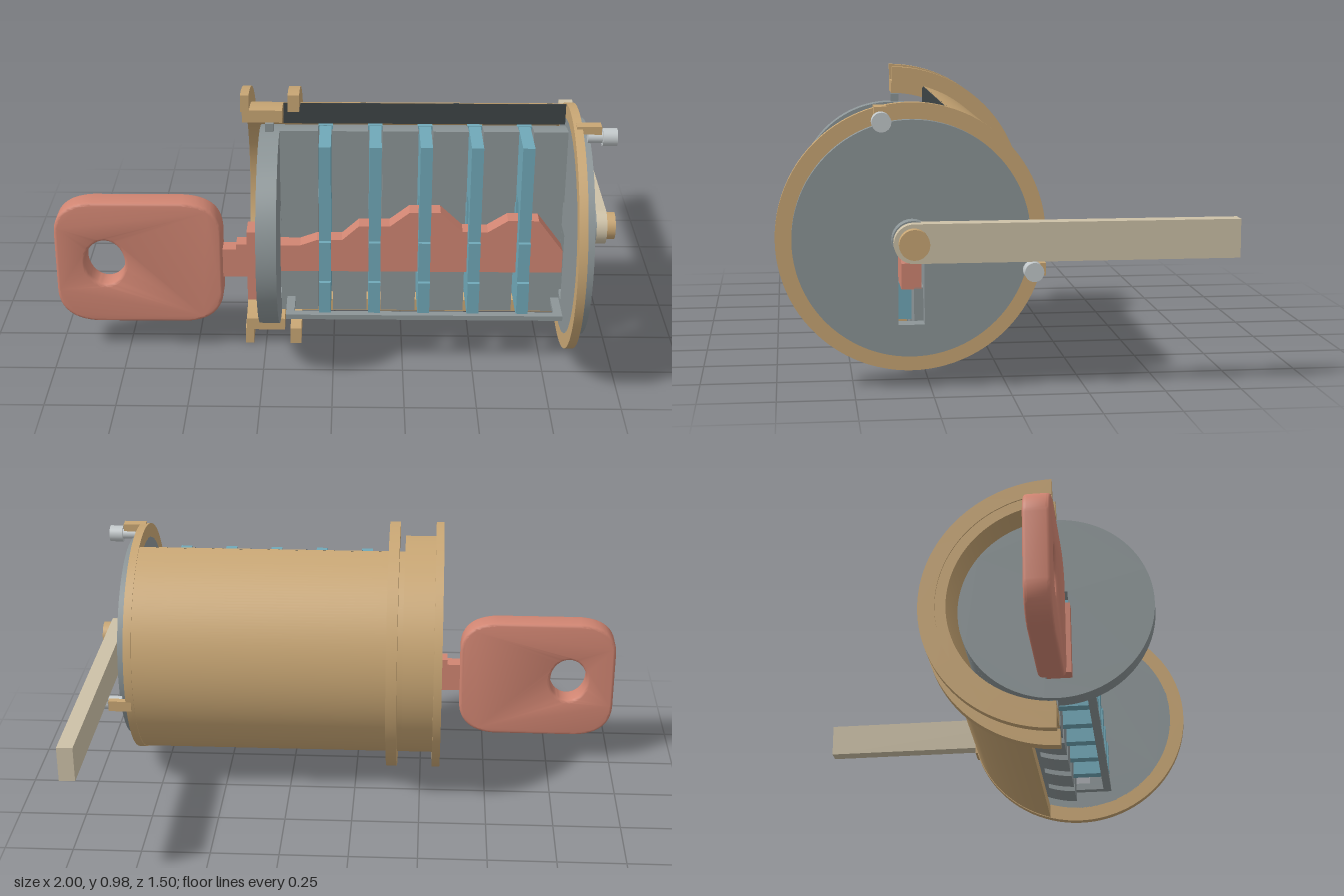
import * as THREE from 'three';
import { toCreasedNormals } from 'three/addons/utils/BufferGeometryUtils.js';

const CY = 0.5, CZ = 0.31; // lock axis, parallel to x

const mat = (name, color, side = THREE.FrontSide) => {
  const m = new THREE.MeshStandardMaterial({ color, side });
  m.name = name;
  return m;
};

export function createModel() {
  const root = new THREE.Group();
  root.name = 'cutawayLock';
  const brass = mat('brass', 0xc8a674);
  const steel = mat('steel', 0x8c9597);
  const dark = mat('darkSteel', 0x3d4446);
  const pale = mat('paleSteel', 0xc2c8ca);
  const bone = mat('leverBeige', 0xcdc1a7);
  const red = mat('keyRed', 0xd08572);
  const blue = mat('waferBlue', 0x70a8b8);

  const add = (name, geo, material) => {
    const mesh = new THREE.Mesh(geo, material);
    mesh.name = name;
    root.add(mesh);
    return mesh;
  };
  // Box from minimum and maximum corners
  const box = (name, m, x0, x1, y0, y1, z0, z1) => {
    const g = new THREE.BoxGeometry(x1 - x0, y1 - y0, z1 - z0);
    g.translate((x0 + x1) / 2, (y0 + y1) / 2, (z0 + z1) / 2);
    return add(name, g, m);
  };
  // Cross-section in (-z, y), extruded along x
  const along = (name, m, shape, x0, x1) => {
    const g = new THREE.ExtrudeGeometry(shape, { depth: x1 - x0, bevelEnabled: false, curveSegments: 48 });
    g.rotateY(Math.PI / 2).translate(x0, 0, 0);
    return add(name, toCreasedNormals(g, 0.5), m);
  };
  const rod = (name, m, r, x0, x1, y, z) => {
    const g = new THREE.CylinderGeometry(r, r, x1 - x0, 32);
    g.rotateZ(Math.PI / 2).translate((x0 + x1) / 2, y, z);
    return add(name, g, m);
  };
  const poly = (pts, Kind = THREE.Shape) => new Kind(pts.map(p => new THREE.Vector2(p[0], p[1])));
  const rectZY = (z0, z1, y0, y1, Kind) => poly([[-z0, y0], [-z0, y1], [-z1, y1], [-z1, y0]], Kind);
  // Rear arc of a tube, cut off at the plane z = cut
  const arcShell = (ri, ro, cut) => {
    const d = CZ - cut, ao = Math.acos(d / ro), ai = Math.acos(d / ri);
    const s = new THREE.Shape();
    s.absarc(-CZ, CY, ro, -ao, ao, false);
    s.absarc(-CZ, CY, ri, ai, -ai, true);
    s.closePath();
    return s;
  };
  // Solid rear segment of a cylinder, cut off at z = cut
  const segment = (r, cut) => {
    const a = Math.acos((CZ - cut) / r), s = new THREE.Shape();
    s.absarc(-CZ, CY, r, -a, a, false);
    s.closePath();
    return s;
  };
  const disc = (r) => {
    const s = new THREE.Shape();
    s.absarc(-CZ, CY, r, 0, Math.PI * 2, false);
    return s;
  };

  // Cut-away housing with its flanges and rear ring
  along('housingNose', brass, arcShell(0.39, 0.435, CZ), -0.32, -0.18);
  along('housingShell', brass, arcShell(0.39, 0.435, 0.19), -0.18, 0.82);
  along('frontFlange', brass, arcShell(0.43, 0.492, CZ), -0.325, -0.295);
  along('secondFlange', brass, arcShell(0.43, 0.492, CZ), -0.16, -0.12);
  const ring = disc(0.438);
  const ringHole = new THREE.Path();
  ringHole.absarc(-CZ, CY, 0.383, 0, Math.PI * 2, true);
  ring.holes.push(ringHole);
  along('rearRing', brass, ring, 0.82, 0.85);
  box('housingCutEdge', dark, -0.18, 0.82, 0.84, 0.917, 0.186, 0.193);

  // End discs of the plug, slotted for the key
  const plugFace = disc(0.355);
  plugFace.holes.push(rectZY(0.27, 0.355, 0.22, 0.56, THREE.Path));
  along('plugFrontDisc', steel, plugFace, -0.26, -0.19);
  const rearFace = disc(0.385);
  rearFace.holes.push(rectZY(0.27, 0.355, 0.22, 0.48, THREE.Path));
  along('plugRearDisc', steel, rearFace, 0.82, 0.88);
  for (const y of [0.135, 0.865]) box('plugStop', steel, -0.24, -0.21, y - 0.02, y + 0.02, 0.28, 0.31);

  // Plug core: a rear spine and blocks between the wafer slots
  const waferX = [-0.03, 0.146, 0.322, 0.498, 0.674];
  along('coreSpine', steel, segment(0.355, 0.195), -0.19, 0.82);
  const edges = [-0.19, ...waferX.flatMap(x => [x - 0.026, x + 0.026]), 0.82];
  const upperBlock = new THREE.Shape();
  const r = 0.355, a0 = Math.PI / 2 - 0.03, a1 = Math.acos(0.13 / r);
  upperBlock.moveTo(-0.18, 0.585);
  upperBlock.absarc(-CZ, CY, r, a1, a0, false);
  upperBlock.lineTo(-0.3, 0.585);
  upperBlock.closePath();
  const lowerBlock = new THREE.Shape();
  lowerBlock.moveTo(-0.18, 0.585);
  lowerBlock.lineTo(-0.268, 0.585);
  lowerBlock.lineTo(-0.268, 0.33);
  lowerBlock.lineTo(-0.3, 0.33);
  lowerBlock.absarc(-CZ, CY, r, -a0, -a1, false);
  lowerBlock.closePath();
  for (let i = 0; i < edges.length; i += 2) {
    along('coreUpperBlock', steel, upperBlock, edges[i], edges[i + 1]);
    along('coreLowerBlock', steel, lowerBlock, edges[i], edges[i + 1]);
  }

  // Wafers: plates with a key window and a stepped lower front
  for (const x of waferX) {
    const s = poly([[-0.2, 0.2], [-0.2, 0.84], [-0.41, 0.84], [-0.41, 0.48],
      [-0.425, 0.48], [-0.425, 0.33], [-0.44, 0.33], [-0.44, 0.21], [-0.41, 0.2]]);
    s.holes.push(rectZY(0.265, 0.35, 0.325, 0.6, THREE.Path));
    along('wafer', blue, s, x - 0.021, x + 0.021);
    box('waferHead', blue, x - 0.026, x + 0.026, 0.825, 0.842, 0.198, 0.215);
  }

  // Thin retaining frame below the wafers
  box('retainerBar', steel, -0.17, 0.82, 0.182, 0.2, 0.41, 0.44);
  box('retainerArm', steel, -0.17, -0.14, 0.182, 0.2, 0.29, 0.44);
  box('retainerArm', steel, 0.79, 0.82, 0.182, 0.2, 0.29, 0.44);

  // Key: rounded bow with a hole, neck, collar and bitted blade
  const bow = new THREE.Shape();
  bow.moveTo(-0.86, 0.13);
  bow.lineTo(-0.54, 0.13);
  bow.bezierCurveTo(-0.45, 0.135, -0.41, 0.18, -0.41, 0.25);
  bow.lineTo(-0.41, 0.47);
  bow.bezierCurveTo(-0.41, 0.54, -0.45, 0.58, -0.54, 0.585);
  bow.lineTo(-0.86, 0.585);
  bow.bezierCurveTo(-0.95, 0.58, -0.99, 0.54, -0.99, 0.47);
  bow.lineTo(-0.99, 0.25);
  bow.bezierCurveTo(-0.99, 0.18, -0.95, 0.135, -0.86, 0.13);
  const bowHole = new THREE.Path();
  bowHole.absellipse(-0.823, 0.358, 0.082, 0.098, 0, Math.PI * 2, true);
  bow.holes.push(bowHole);
  const bowGeo = new THREE.ExtrudeGeometry(bow, {
    depth: 0.065, bevelThickness: 0.013, bevelSize: 0.011, bevelSegments: 3, curveSegments: 24,
  });
  bowGeo.translate(0, 0, 0.277);
  add('keyBow', toCreasedNormals(bowGeo, 0.6), red);
  box('keyNeck', red, -0.41, -0.3, 0.3, 0.41, 0.28, 0.34);
  box('keyNeckStep', red, -0.35, -0.3, 0.3, 0.43, 0.28, 0.34);
  box('keyCollar', red, -0.31, -0.255, 0.22, 0.49, 0.275, 0.365);
  const blade = poly([[-0.27, 0.325], [0.82, 0.325], [0.82, 0.41], [0.73, 0.53], [0.62, 0.53],
    [0.55, 0.485], [0.46, 0.485], [0.38, 0.56], [0.27, 0.56], [0.2, 0.505], [0.09, 0.505],
    [0.03, 0.45], [-0.06, 0.45], [-0.12, 0.428], [-0.27, 0.428]]);
  const bladeGeo = new THREE.ExtrudeGeometry(blade, { depth: 0.065, bevelEnabled: false });
  add('keyBlade', bladeGeo.translate(0, 0, 0.276), red);

  // Cam lever with boss and rivet
  rod('leverBoss', steel, 0.067, 0.87, 0.93, CY, CZ);
  box('lever', bone, 0.912, 0.968, 0.435, 0.562, -0.747, 0.31);
  rod('leverEnd', bone, 0.0635, 0.912, 0.968, 0.4985, CZ);
  rod('leverRivet', brass, 0.049, 0.92, 1.0, CY, CZ);

  // Stop pins and their brass tabs
  for (const [y, z] of [[0.885, 0.41], [0.4, -0.075]]) {
    rod('stopPin', pale, 0.031, 0.92, 0.97, y, z);
    rod('stopPinStem', pale, 0.02, 0.87, 0.92, y, z);
  }
  box('upperTab', brass, 0.83, 0.915, 0.902, 0.93, 0.39, 0.43);
  box('sideTab', brass, 0.83, 0.915, 0.38, 0.42, -0.12, -0.095);

  return root;
}
